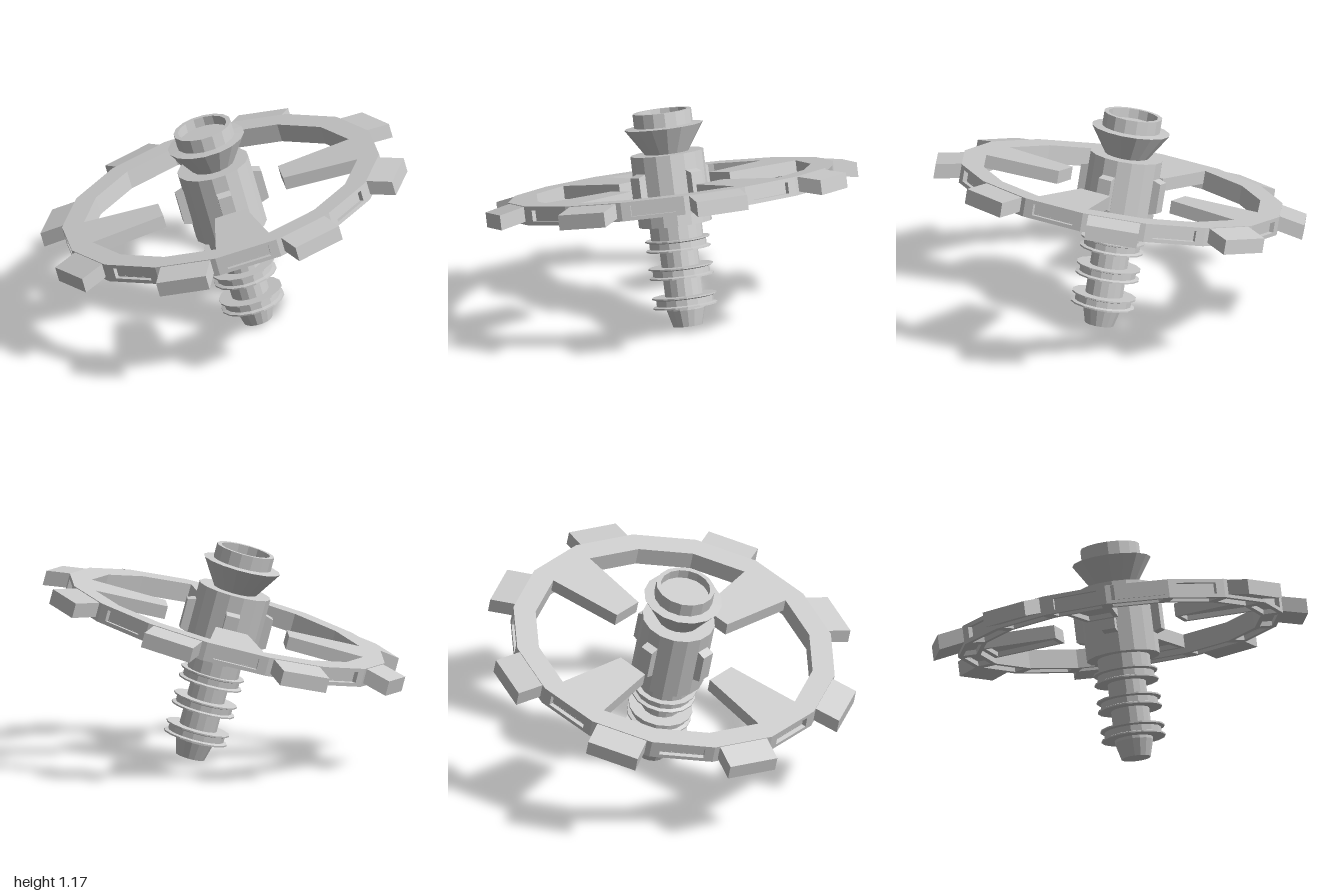
import * as THREE from 'three';

const material = new THREE.MeshStandardMaterial({ color: 0xcccccc, flatShading: true, side: THREE.DoubleSide });
const SIDES = 16;
const HALF = Math.PI / SIDES;
const TILT = THREE.MathUtils.degToRad(15);

function addMesh(parent, name, geometry) {
  const mesh = new THREE.Mesh(geometry, material);
  mesh.name = name;
  parent.add(mesh);
  return mesh;
}

// Two triangles for corners given anticlockwise
function quad(out, a, b, c, d) {
  for (const p of [a, b, c, a, c, d]) out.push(p.x, p.y, p.z);
}

// A face with a sunken panel: frame, walls and floor
function panel(out, corners, { u, v, depth }) {
  const normal = corners[1].clone().sub(corners[0]).cross(corners[3].clone().sub(corners[0])).normalize();
  const rim = corners.map((c, i) => {
    const alongU = corners[i ^ 1].clone().sub(c).normalize();
    const alongV = corners[3 - i].clone().sub(c).normalize();
    return c.clone().addScaledVector(alongU, u).addScaledVector(alongV, v);
  });
  const floor = rim.map((p) => p.clone().addScaledVector(normal, -depth));
  for (let i = 0; i < 4; i++) {
    const j = (i + 1) % 4;
    quad(out, corners[i], corners[j], rim[j], rim[i]);
    quad(out, rim[i], rim[j], floor[j], floor[i]);
  }
  quad(out, ...floor);
}

// Tapered block running outward; each end is [radius, half width, low, high]
function taperedBlock([n0, w0, lo0, hi0], [n1, w1, lo1, hi1], recess = {}, skip = []) {
  const P = (x, y, n) => new THREE.Vector3(x, y, -n);
  const a = P(-w0, lo0, n0), b = P(w0, lo0, n0), c = P(w0, hi0, n0), d = P(-w0, hi0, n0);
  const e = P(-w1, lo1, n1), f = P(w1, lo1, n1), g = P(w1, hi1, n1), h = P(-w1, hi1, n1);
  const faces = {
    top: [d, c, g, h], bottom: [e, f, b, a], inner: [a, b, c, d],
    outer: [f, e, h, g], right: [b, f, g, c], left: [e, a, d, h],
  };
  const out = [];
  for (const [key, corners] of Object.entries(faces)) {
    if (skip.includes(key)) continue;
    if (recess[key]) panel(out, corners, recess[key]);
    else quad(out, ...corners);
  }
  const geometry = new THREE.BufferGeometry();
  geometry.setAttribute('position', new THREE.Float32BufferAttribute(out, 3));
  geometry.computeVertexNormals();
  return geometry;
}

function lathe(points) {
  return new THREE.LatheGeometry(points.map(([r, y]) => new THREE.Vector2(r, y)), SIDES);
}

export function createModel() {
  const model = new THREE.Group();
  model.name = 'spaceStation';
  const station = new THREE.Group();
  station.name = 'tiltedStation';
  station.rotation.z = TILT;
  station.position.y = 0.7;
  model.add(station);

  // Central spindle
  const hub = new THREE.Group();
  hub.name = 'hub';
  station.add(hub);
  addMesh(hub, 'hubBody', lathe([[0, -0.153], [0.195, -0.153], [0.195, 0.228], [0, 0.228]]));
  addMesh(hub, 'dockingCup', lathe([
    [0.115, 0.225], [0.21, 0.37], [0.157, 0.375], [0.157, 0.45], [0.133, 0.45], [0.133, 0.4], [0, 0.4],
  ]));
  addMesh(hub, 'lowerCollar', lathe([[0.14, -0.15], [0.14, -0.24]]));
  addMesh(hub, 'lowerShaft', lathe([[0.102, -0.2], [0.102, -0.61], [0.078, -0.7], [0, -0.7]]));

  // Discs with a grooved rim
  for (const y of [-0.26, -0.407, -0.565]) {
    const disc = addMesh(hub, 'shaftDisc', lathe([
      [0.1, -0.03], [0.172, -0.03], [0.172, -0.022], [0.152, -0.016],
      [0.152, 0.016], [0.172, 0.022], [0.172, 0.03], [0.1, 0.03],
    ]));
    disc.position.y = y;
  }

  // Ring with blocks on every second side, spokes and hub lugs on every fourth
  const bottomPanel = { u: 0.03, v: 0.025, depth: 0.025 };
  const outerPanel = { u: 0.05, v: 0.02, depth: 0.025 };
  const wide = Math.tan(HALF);
  const rIn = 0.75 * Math.cos(HALF), rOut = 0.87 * Math.cos(HALF);
  for (let i = 0; i < SIDES; i++) {
    const sector = new THREE.Group();
    sector.name = 'ringSector';
    sector.rotation.y = -(2 * i - 1) * HALF;
    station.add(sector);

    const hasBlock = i % 2 === 1;
    const recess = hasBlock ? { bottom: bottomPanel } : { bottom: bottomPanel, outer: outerPanel };
    addMesh(sector, 'ringSegment', taperedBlock(
      [rIn, rIn * wide, -0.03, 0.07], [rOut, rOut * wide, -0.03, 0.07], recess, ['left', 'right']));

    if (hasBlock) {
      addMesh(sector, 'outerBlock', taperedBlock([0.84, 0.14, -0.01, 0.069], [0.99, 0.14, -0.04, 0.04]));
    }
    if (i % 4 === 0) {
      addMesh(sector, 'spoke', taperedBlock(
        [0.333, 0.087, 0, 0.07], [rIn, 0.147, 0, 0.07], { bottom: { u: 0.025, v: 0.025, depth: 0.025 } }, ['outer']));
      const lug = addMesh(sector, 'hubLug', taperedBlock([0.17, 0.037, -0.1, 0.1], [0.235, 0.037, -0.08, 0.08]));
      lug.position.y = 0.045;
    }
  }
  return model;
}
